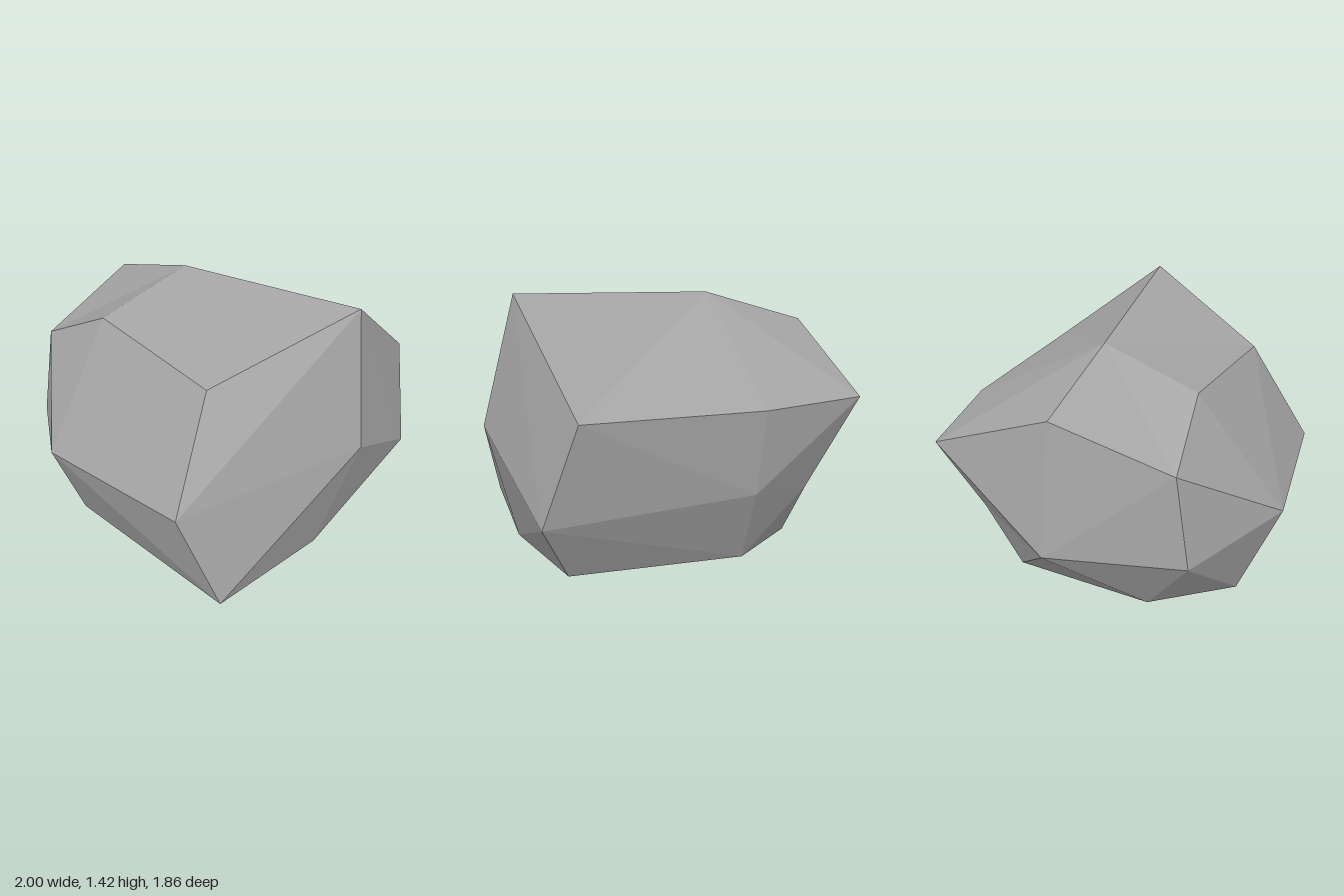
import * as THREE from 'three';

export function createModel() {
  const group = new THREE.Group();
  group.name = 'boulder';
  const v = (x, y, z) => new THREE.Vector3(x, y, z);

  // Three rings of eight corners, running front left -> front -> right -> back -> left
  const base = [
    v(-0.62, 0.01, 0.32), v(-0.28, 0.01, 0.71), v(0.83, 0.01, 0.63), v(0.83, 0.01, -0.09),
    v(0.67, 0.01, -0.65), v(-0.27, 0, -0.71), v(-0.62, 0.01, -0.49), v(-0.62, 0.01, -0.09),
  ];
  const waist = [
    v(-0.775, 0.435, 0.62), v(-0.225, 0.55, 0.925), v(0.66, 0.55, 0.78), v(1, 0.715, -0.195),
    v(0.83, 0.37, -0.83), v(-0.25, 0.44, -0.9), v(-0.64, 0.36, -0.7), v(-1, 0.43, -0.095),
  ];
  const shoulder = [
    v(-0.76, 0.945, 0.54), v(-0.32, 1.18, 0.46), v(0.53, 1.12, 0.46), v(0.83, 1.42, -0.295),
    v(0.66, 0.915, -0.925), v(-0.28, 0.89, -0.93), v(-0.875, 0.87, -0.8), v(-0.87, 1.15, -0.095),
  ];
  const crown = v(-0.28, 1.34, -0.095);
  const foot = v(0, 0.005, 0);
  const middle = v(0, 0.6, 0);

  const points = [];
  const tri = (...corners) => points.push(...corners);

  // Split each four-sided facet along its outward diagonal
  const reach = (a, b) => a.clone().lerp(b, 0.5).distanceTo(middle);
  const quad = (a, b, c, d) => {
    if (reach(a, c) > reach(b, d)) { tri(a, b, c); tri(a, c, d); }
    else { tri(a, b, d); tri(b, c, d); }
  };

  for (let i = 0; i < 8; i++) {
    const j = (i + 1) % 8;
    quad(base[i], base[j], waist[j], waist[i]);
    quad(waist[i], waist[j], shoulder[j], shoulder[i]);
    tri(crown, shoulder[i], shoulder[j]);
    tri(foot, base[j], base[i]);
  }

  const geometry = new THREE.BufferGeometry().setFromPoints(points);
  geometry.computeVertexNormals();

  const stone = new THREE.MeshStandardMaterial({ color: 0xa3a3a3 });
  stone.name = 'grey stone';
  stone.flatShading = true;

  const rock = new THREE.Mesh(geometry, stone);
  rock.name = 'rock';
  group.add(rock);
  return group;
}
